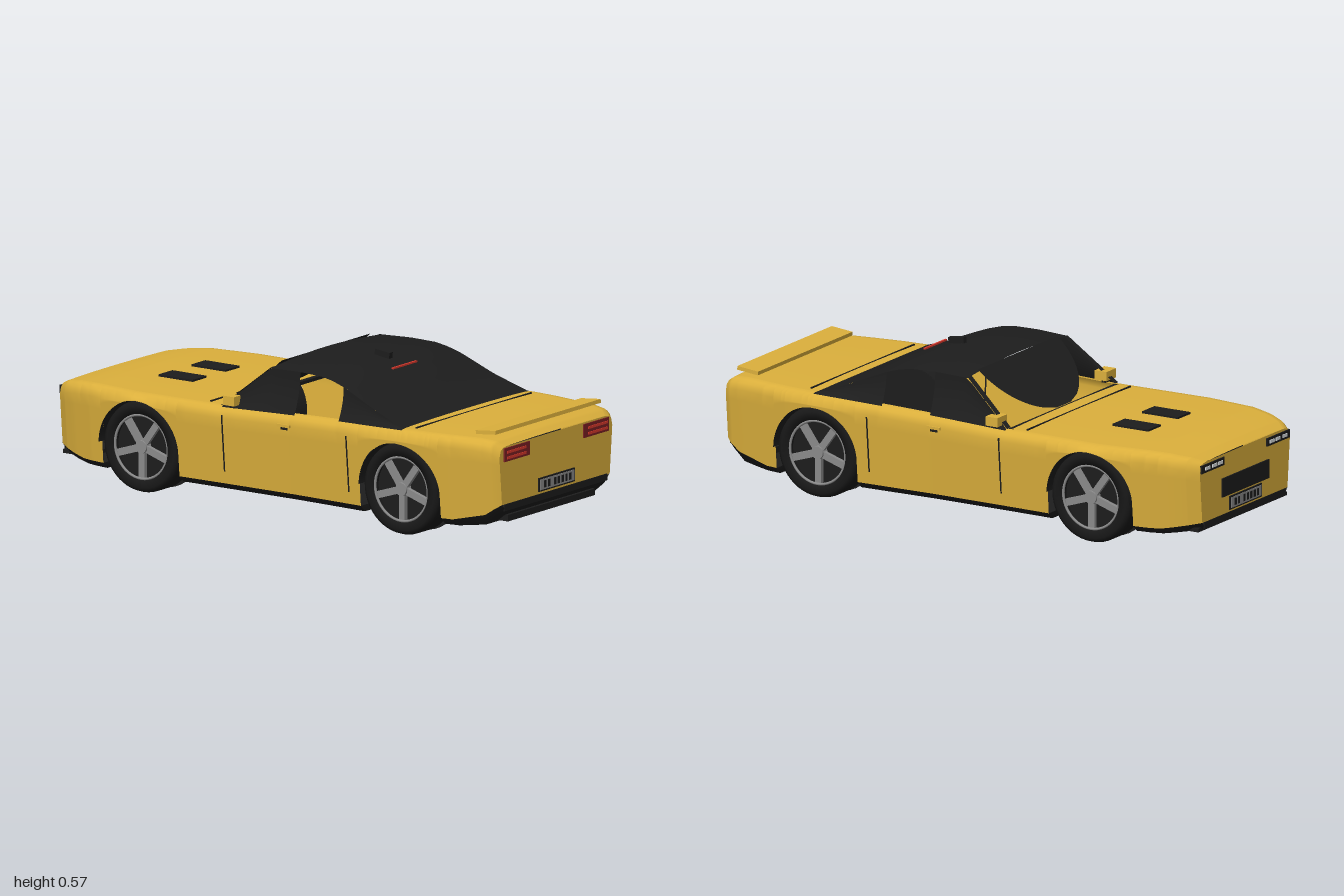
import * as THREE from 'three';

const mat = (name, color, side = THREE.FrontSide) => {
  const m = new THREE.MeshStandardMaterial({ color, side });
  m.name = name;
  return m;
};

// Linear lookup in a short table of [z, value] pairs
const at = (table, z) => {
  if (z <= table[0][0]) return table[0][1];
  for (let i = 1; i < table.length; i++) {
    const [z1, v1] = table[i], [z0, v0] = table[i - 1];
    if (z <= z1) return v0 + (v1 - v0) * (z - z0) / (z1 - z0);
  }
  return table[table.length - 1][1];
};

// Surface through a list of cross-sections with equal point counts
function loft(sections) {
  const n = sections[0].length, index = [];
  for (let i = 0; i < sections.length - 1; i++)
    for (let j = 0; j < n - 1; j++) {
      const a = i * n + j, b = a + n;
      index.push(a, b, a + 1, b, b + 1, a + 1);
    }
  const g = new THREE.BufferGeometry();
  g.setAttribute('position', new THREE.Float32BufferAttribute(sections.flat(2), 3));
  g.setIndex(index);
  g.computeVertexNormals();
  return g;
}

const WHEEL_Z = [0.58, -0.575], WHEEL_Y = 0.168, ARCH = 0.174, END = 0.99;
const WIDTH = [[-0.99, 0.305], [-0.95, 0.335], [-0.9, 0.358], [-0.8, 0.386], [-0.6, 0.41], [-0.2, 0.402],
  [0.1, 0.4], [0.6, 0.415], [0.7, 0.408], [0.8, 0.393], [0.92, 0.372], [0.97, 0.36], [0.99, 0.343]];
const TOP = [[-0.99, 0.335], [-0.95, 0.35], [-0.88, 0.362], [-0.8, 0.368], [-0.2, 0.368], [0, 0.375],
  [0.3, 0.385], [0.6, 0.392], [0.9, 0.392], [0.96, 0.386], [0.99, 0.368]];
const BASE = [[-0.99, 0.112], [-0.85, 0.085], [0.8, 0.085], [0.93, 0.115], [0.99, 0.155]];
const BOTTOM = [[-0.99, 0.085], [-0.85, 0.062], [0.82, 0.06], [0.92, 0.075], [0.99, 0.13]];
const ROOF_Y = [[-0.03, 0.524], [0.1, 0.529], [0.2, 0.526], [0.25, 0.518], [0.31, 0.5], [0.45, 0.44], [0.59, 0.391]];
const ROOF_W = [[-0.03, 0.338], [0.25, 0.348], [0.45, 0.363], [0.59, 0.38]];
const range = (a, b, n) => Array.from({ length: n + 1 }, (_, i) => a + (b - a) * i / n);
const sideX = (y, z) => at(WIDTH, z) - 0.025 * Math.max(0, at(TOP, z) - 0.04 - y) / 0.28;

// Half cross-section of the body, from the lower edge or wheel arch up to the shoulder
function sideSection(z, s, arches = true) {
  const w = at(WIDTH, z), t = at(TOP, z), shoulder = t - 0.04;
  let low = at(BASE, z);
  if (arches) for (const c of WHEEL_Z) {
    const d = Math.abs(z - c);
    if (d < ARCH) low = Math.max(low, WHEEL_Y + Math.sqrt(ARCH * ARCH - d * d));
  }
  low = Math.min(low, shoulder + 0.015);
  const pts = range(0, 1, 6).map(v => {
    const y = low + (Math.max(shoulder, low + 0.002) - low) * v;
    return [s * sideX(y, z), y, z];
  });
  pts.push([s * (w - 0.007), t - 0.014, z], [s * (w - 0.022), t - 0.003, z], [s * (w - 0.045), t, z]);
  return pts;
}

export function createModel() {
  const car = new THREE.Group();
  car.name = 'car';
  const D = THREE.DoubleSide;
  const yellow = mat('yellowPaint', 0xdcb03c, D), black = mat('blackTrim', 0x1d1d1d, D);
  const rubber = mat('tyreRubber', 0x181818, D), grey = mat('alloyGrey', 0x8a8a8a);
  const darkRed = mat('lampDarkRed', 0x7a2022), red = mat('lampRed', 0xd8382c);
  const white = mat('lampWhite', 0xd8dcde);
  const add = (name, geo, m, parent = car) => {
    const mesh = new THREE.Mesh(geo, m);
    mesh.name = name;
    parent.add(mesh);
    return mesh;
  };
  const box = (name, m, w, h, d, x, y, z, parent) => {
    const b = add(name, new THREE.BoxGeometry(w, h, d), m, parent);
    b.position.set(x, y, z);
    return b;
  };

  // Stations along the car, denser around the wheel arches
  const stations = [...range(-END, END, 44), ...[WIDTH, TOP, BASE].flat().map(p => p[0])];
  for (const c of WHEEL_Z) {
    for (const a of range(0, Math.PI, 24)) stations.push(c + (ARCH - 0.0002) * Math.cos(a));
    stations.push(c - ARCH - 0.0002, c + ARCH + 0.0002);
  }
  const zs = [...new Set(stations.map(z => +z.toFixed(4)))].sort((a, b) => a - b);

  // Body sides, hood, trunk lid and end faces
  for (const s of [1, -1]) add('bodySide', loft(zs.map(z => sideSection(z, s))), yellow);
  const deck = z => range(-1, 1, 12).map(u =>
    [u * (at(WIDTH, z) - 0.045), at(TOP, z) + 0.004 * (1 - u * u), z]);
  add('hood', loft([...zs.filter(z => z < -0.23), -0.23].map(deck)), yellow);
  add('trunkLid', loft([0.585, ...zs.filter(z => z > 0.585)].map(deck)), yellow);
  for (const z of [END, -END]) {
    const outline = [...sideSection(z, 1, false), ...sideSection(z, -1, false).reverse()];
    const face = new THREE.ShapeGeometry(new THREE.Shape(outline.map(p => new THREE.Vector2(p[0], p[1]))));
    const cap = add(z > 0 ? 'rearFace' : 'frontFace', face, yellow);
    cap.position.z = z;
  }

  // Black underbody, narrowed beside the wheels; its inside is the cabin floor
  add('underbody', loft(zs.map(z => {
    const inArch = WHEEL_Z.some(c => Math.abs(z - c) < ARCH);
    const b = at(BASE, z), w = inArch ? 0.25 : sideX(b, z), lo = at(BOTTOM, z), k = inArch ? 0 : 0.025;
    return [[-w, b, z], [-w + k, lo, z], [0, lo, z], [w - k, lo, z], [w, b, z]];
  })), black);
  for (const z of [END, -END]) {
    const h = at(BASE, z) - at(BOTTOM, z);
    box('bumperEdge', black, 2 * at(WIDTH, z) - 0.06, h, 0.004, 0, at(BOTTOM, z) + h / 2, z * 0.999);
  }
  box('rearLip', black, 0.53, 0.024, 0.1, 0, 0.093, 0.92);
  box('frontLip', black, 0.6, 0.014, 0.12, 0, 0.085, -0.92);

  // Soft roof with rear window, open windscreen and open side windows
  const roofZ = [...range(-0.03, 0.2, 6), ...range(0.23, 0.59, 14)];
  add('roof', loft(roofZ.map(z => range(-1, 1, 16).map(u => {
    const crown = 0.018 * Math.min(1, (0.59 - z) / 0.2);
    return [u * at(ROOF_W, z), at(ROOF_Y, z) + crown * (1 - u * u), z];
  }))), black);
  const beltX = z => at(WIDTH, z) - 0.022;
  for (const s of [1, -1]) {
    const panel = (name, z0, z1, topY, topX) => add(name, loft(range(z0, z1, 10).map(z => {
      const y0 = at(TOP, z) - 0.003, y1 = Math.max(topY(z), y0 + 0.001), x0 = beltX(z), x1 = topX(z);
      return range(0, 1, 5).map(v => [s * (x1 + (x0 - x1) * (1 - v) ** 2), y0 + (y1 - y0) * v, z]);
    })), black);
    panel('rearQuarter', 0.305, 0.59, z => at(ROOF_Y, z), z => at(ROOF_W, z));
    const slope = z => at([[-0.215, 0.37], [-0.03, 0.524], [0.1, 0.529]], z);
    panel('frontQuarter', -0.215, 0.105, slope, z => at([[-0.215, 0.375], [-0.03, 0.338], [0.1, 0.342]], z));
    // Windscreen pillar
    add('windscreenPillar', loft(range(0, 1, 6).map(t => {
      const z = -0.22 + 0.19 * t, y = 0.37 + 0.156 * t, x = 0.377 - 0.039 * t;
      return [[s * x, y, z], [s * (x - 0.025), y + 0.002, z]];
    })), black);
  }
  // Rounded windscreen panel hanging from the roof header
  add('windscreenPanel', loft(range(0, 1, 14).map(t => {
    const half = 0.27 * Math.sqrt(Math.max(0.001, 1 - t * t * 0.97));
    return range(-1, 1, 8).map(u => [u * half, 0.54 - 0.165 * t, -0.03 - 0.195 * t]);
  })), black);
  box('cowl', black, 0.72, 0.012, 0.02, 0, 0.362, -0.225);
  box('antenna', black, 0.02, 0.022, 0.065, 0, 0.551, 0.225).rotation.x = 0.12;
  box('highBrakeLight', red, 0.146, 0.006, 0.008, 0, 0.521, 0.318);

  // Spoiler, panel seams and hood vents
  box('spoiler', yellow, 0.64, 0.014, 0.088, 0, 0.411, 0.912).rotation.x = -0.1;
  for (const x of [-0.25, 0.25]) box('spoilerFoot', yellow, 0.03, 0.02, 0.03, x, 0.396, 0.9);
  box('hoodSeam', black, 0.7, 0.006, 0.006, 0, 0.37, -0.288);
  box('trunkSeam', black, 0.7, 0.006, 0.006, 0, 0.394, 0.625);
  for (const s of [1, -1]) {
    box('hoodVent', black, 0.084, 0.01, 0.152, s * 0.1, 0.374, -0.595);
    for (const z of [0.355, -0.2])
      box('doorSeam', black, 0.004, 0.21, 0.005, s * (sideX(0.235, z)), 0.235, z).rotation.z = -s * 0.089;
    box('doorHandle', yellow, 0.014, 0.01, 0.055, s * sideX(0.335, 0.075), 0.338, 0.075);
    box('handleRecess', black, 0.006, 0.01, 0.03, s * sideX(0.33, 0.075), 0.328, 0.075);
    box('mirror', yellow, 0.066, 0.034, 0.05, s * 0.37, 0.396, -0.17);
    box('mirrorFoot', black, 0.02, 0.02, 0.02, s * 0.37, 0.375, -0.17);

    // Tail lamps
    box('tailLamp', darkRed, 0.153, 0.05, 0.008, s * 0.241, 0.337, 0.991);
    for (const y of [0.346, 0.325]) box('tailLampBar', red, 0.117, 0.009, 0.004, s * 0.247, y, 0.996);

    // Headlamps
    box('headlamp', black, 0.155, 0.03, 0.008, s * 0.222, 0.311, -0.991);
    for (const x of [0.175, 0.215, 0.262])
      box('headlampLens', white, 0.03, 0.012, 0.004, s * x, 0.311, -0.996);
  }
  box('grille', black, 0.32, 0.07, 0.008, 0, 0.212, -0.991);

  // Number plates with plain bars
  for (const [f, y] of [[1, 0.189], [-1, 0.145]]) {
    box('plateFrame', black, 0.218, 0.05, 0.008, 0, y, f * 0.991);
    box('plate', grey, 0.206, 0.039, 0.003, 0, y, f * 0.9955);
    for (const x of [-0.075, -0.052, -0.015, 0.008, 0.031, 0.054, 0.077])
      box('plateBar', black, 0.013, 0.026, 0.002, f * x, y, f * 0.9975);
  }

  // Wheels and wheel wells
  const V = (r, x) => new THREE.Vector2(r, x);
  const tyreGeo = new THREE.LatheGeometry([V(0.115, -0.06), V(0.15, -0.06), V(0.163, -0.053), V(0.168, -0.038),
    V(0.168, 0.038), V(0.163, 0.053), V(0.15, 0.06), V(0.122, 0.06), V(0.118, 0.03)], 48);
  for (const s of [1, -1]) for (const z of WHEEL_Z) {
    const wheel = new THREE.Group();
    wheel.name = 'wheel';
    wheel.position.set(s * 0.325, WHEEL_Y, z);
    wheel.rotation.z = -s * Math.PI / 2;
    car.add(wheel);
    add('tyre', tyreGeo, rubber, wheel);
    add('wheelBack', new THREE.CylinderGeometry(0.119, 0.119, 0.06, 32), black, wheel);
    const rim = add('rimRing', new THREE.TorusGeometry(0.117, 0.005, 8, 48), grey, wheel);
    rim.rotation.x = Math.PI / 2;
    rim.position.y = 0.052;
    const hub = add('hub', new THREE.CylinderGeometry(0.024, 0.028, 0.03, 20), grey, wheel);
    hub.position.y = 0.042;
    for (let i = 0; i < 5; i++) {
      const arm = new THREE.Group();
      arm.name = 'spokeArm';
      arm.rotation.y = i * Math.PI * 0.4 + (s > 0 ? 0 : Math.PI);
      wheel.add(arm);
      box('spoke', grey, 0.1, 0.016, 0.026, 0.066, 0.043, 0, arm);
    }
    const well = add('wheelWell', new THREE.CylinderGeometry(ARCH, ARCH, 0.155, 40, 1, true, 0, Math.PI), black);
    well.rotation.z = Math.PI / 2;
    well.position.set(s * 0.3225, WHEEL_Y, z);
    const wall = add('wheelWellWall', new THREE.CircleGeometry(ARCH, 40), black);
    wall.rotation.y = Math.PI / 2;
    wall.position.set(s * 0.246, WHEEL_Y + 0.003, z);
  }
  return car;
}
